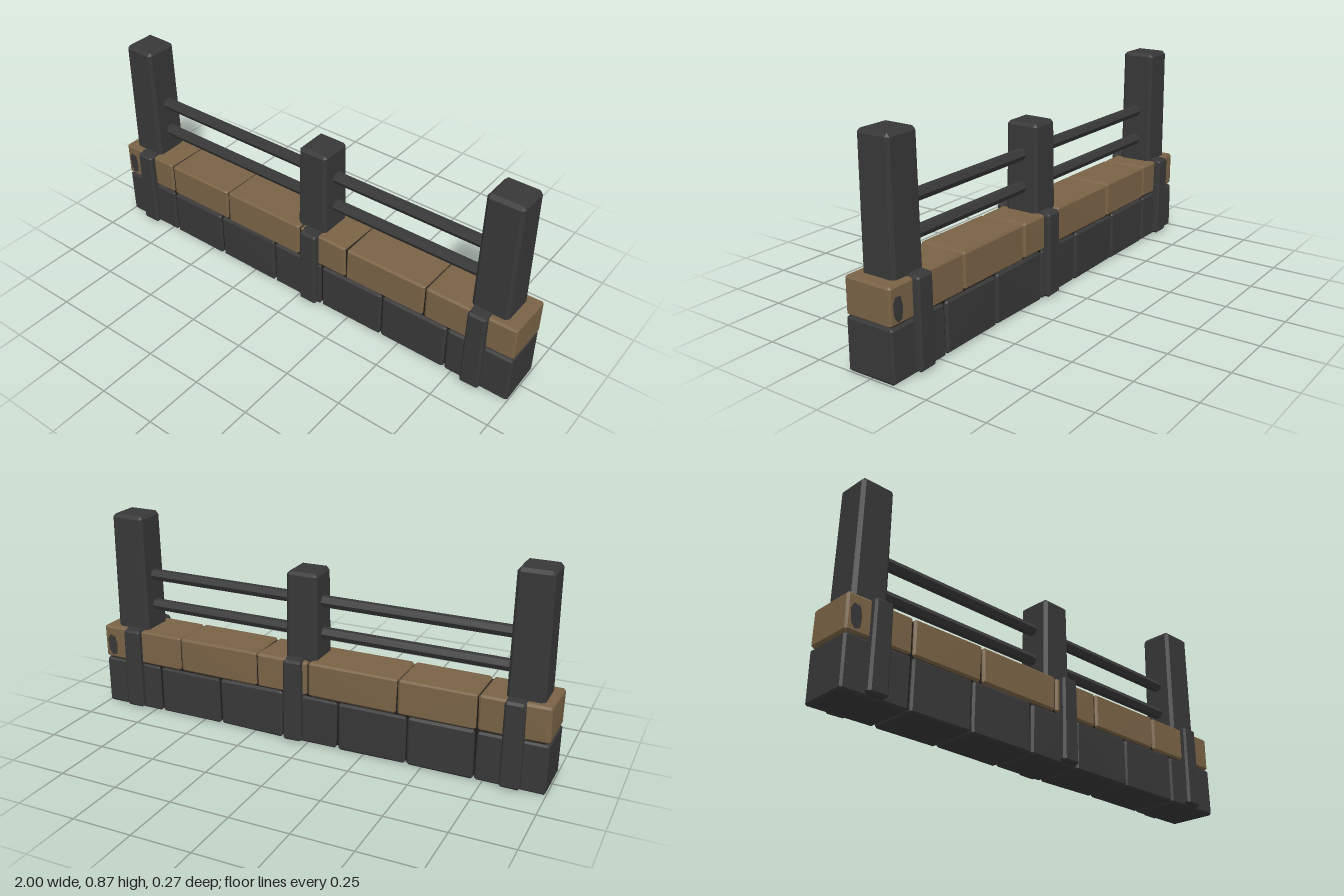
import * as THREE from 'three';
import { ConvexGeometry } from 'three/addons/geometries/ConvexGeometry.js';

const darkStone = new THREE.MeshStandardMaterial({ color: 0x383838 });
darkStone.name = 'darkStone';
const brownStone = new THREE.MeshStandardMaterial({ color: 0x7a6346 });
brownStone.name = 'brownStone';
const mortar = new THREE.MeshStandardMaterial({ color: 0x1e1c1a });
mortar.name = 'mortar';

// small seeded generator for hand-hewn irregularity
let seed = 7;
const rnd = () => (seed = (seed * 16807) % 2147483647) / 2147483647;

// chamfered box between two corners; "wear" pulls points inwards,
// "shape" may scale the cross-section by height t (0 bottom, 1 top)
function hewnBox(name, mat, min, max, bevel, wear = 0, shape = null) {
  const points = [];
  const c = min.map((v, i) => (v + max[i]) / 2);
  const h = min.map((v, i) => (max[i] - v) / 2);
  for (const sx of [-1, 1]) for (const sy of [-1, 1]) for (const sz of [-1, 1]) {
    const s = [sx, sy, sz];
    const b = bevel * (1 + wear * 40 * rnd());
    for (let face = 0; face < 3; face++) {
      const p = s.map((v, i) => v * (h[i] - (i === face ? wear * rnd() : b)));
      const k = shape ? shape((p[1] / h[1] + 1) / 2) : 1;
      points.push(new THREE.Vector3(c[0] + p[0] * k, c[1] + p[1], c[2] + p[2] * k));
    }
  }
  const mesh = new THREE.Mesh(new ConvexGeometry(points), mat);
  mesh.name = name;
  return mesh;
}

// row of stones split at the given seams
function course(name, mat, seams, y0, y1, depth, shape) {
  const row = new THREE.Group();
  row.name = name;
  for (let i = 0; i < seams.length - 1; i++) {
    const a = seams[i] + (i ? 0.002 : 0);
    const b = seams[i + 1] - (i < seams.length - 2 ? 0.002 : 0);
    row.add(hewnBox(name + 'Block', mat, [a, y0, -depth], [b, y1, depth], 0.009, 0.004, shape));
  }
  return row;
}

export function createModel() {
  seed = 7;
  const model = new THREE.Group();
  model.name = 'stoneWallFence';

  // wall: dark footing, brown coping and the mortar between them
  model.add(course('footing', darkStone,
    [-1, -0.715, -0.435, -0.135, 0.115, 0.415, 0.715, 1], 0, 0.211, 0.107));
  model.add(course('coping', brownStone,
    [-1, -0.86, -0.715, -0.39, 0.0, 0.235, 0.607, 0.84, 1], 0.212, 0.363, 0.106));
  const core = new THREE.Mesh(new THREE.BoxGeometry(1.96, 0.335, 0.184), mortar);
  core.name = 'mortarCore';
  core.position.y = 0.182;
  model.add(core);

  // straps clamped over the wall, one under each post
  for (const x of [-0.862, 0.06, 0.843]) {
    const strap = new THREE.Group();
    strap.name = 'strap';
    for (const side of [-1, 1]) {
      const z = [0.07 * side, 0.133 * side].sort((a, b) => a - b);
      strap.add(hewnBox('strapLeg', darkStone,
        [x - 0.043, 0.008, z[0]], [x + 0.043, 0.368, z[1]], 0.01, 0.002,
        (t) => 1 - 0.07 * t));
    }
    const bridge = new THREE.Mesh(new THREE.BoxGeometry(0.074, 0.02, 0.2), darkStone);
    bridge.name = 'strapBridge';
    bridge.position.set(x, 0.356, 0);
    strap.add(bridge);
    model.add(strap);
  }

  // posts, narrowing slightly towards the top
  const posts = [[-0.887, 0.075, 0.867], [0.042, 0.071, 0.727], [0.866, 0.079, 0.867]];
  for (const [x, half, top] of posts) {
    model.add(hewnBox('post', darkStone, [x - half, 0.34, -0.077], [x + half, top, 0.077],
      0.014, 0.002, (t) => 1 - 0.05 * t));
  }

  // two six-sided rails in each bay
  const bays = [[-0.84, 0.0], [0.08, 0.82]];
  for (const y of [0.598, 0.462]) {
    for (const [a, b] of bays) {
      const rail = new THREE.Mesh(
        new THREE.CylinderGeometry(0.025, 0.025, b - a, 6).toNonIndexed(), darkStone);
      rail.geometry.computeVertexNormals();
      rail.name = 'rail';
      rail.rotation.z = Math.PI / 2;
      rail.position.set((a + b) / 2, y, -0.002);
      model.add(rail);
    }
  }

  // chipped dark patch near one end of each long face
  const chip = new THREE.Shape([
    [-0.983, 0.3], [-0.978, 0.25], [-0.962, 0.228], [-0.942, 0.235],
    [-0.938, 0.28], [-0.946, 0.318], [-0.972, 0.322],
  ].map(([x, y]) => new THREE.Vector2(x, y)));
  const chipGeometry = new THREE.ExtrudeGeometry(chip, { depth: 0.008, bevelEnabled: false });
  chipGeometry.translate(0, 0, 0.099);
  for (const turn of [0, Math.PI]) {
    const patch = new THREE.Mesh(chipGeometry, darkStone);
    patch.name = 'chippedPatch';
    patch.rotation.y = turn;
    model.add(patch);
  }

  return model;
}
